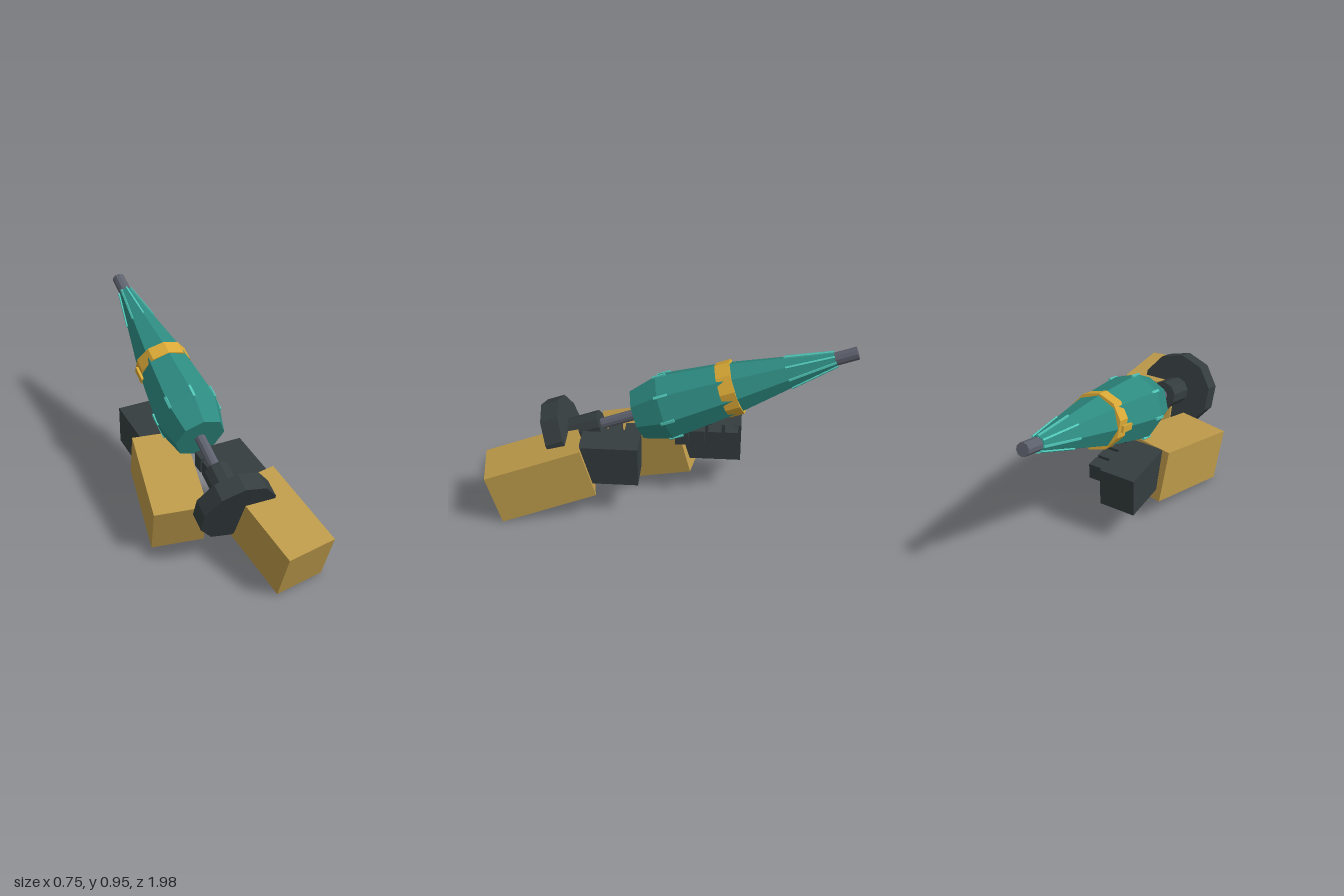
import * as THREE from 'three';

const mat = (name, color) => {
  const m = new THREE.MeshStandardMaterial({ color, flatShading: true });
  m.name = name;
  return m;
};

export function createModel() {
  const teal = mat('teal shell', 0x2d8a80);
  const aqua = mat('light teal trim', 0x4fc4b6);
  const gold = mat('gold band', 0xd9a836);
  const tan = mat('tan sleeve', 0xbd9a4a);
  const dark = mat('dark glove', 0x353d3f);
  const steel = mat('grey steel', 0x5e626e);

  const model = new THREE.Group();
  model.name = 'model';

  const add = (parent, name, geometry, material, x = 0, y = 0, z = 0) => {
    const mesh = new THREE.Mesh(geometry, material);
    mesh.name = name;
    mesh.position.set(x, y, z);
    parent.add(mesh);
    return mesh;
  };

  // Tool: built along local +y, which leans up and backwards; local +z is its upper side
  const tool = new THREE.Group();
  tool.name = 'tool';
  tool.position.set(0, 0.334, 0.618);
  tool.rotation.x = THREE.MathUtils.degToRad(-70);
  model.add(tool);

  const rod = (name, r, from, to, material) =>
    add(tool, name, new THREE.CylinderGeometry(r, r, to - from, 10), material, 0, (from + to) / 2, 0);
  rod('frontDisc', 0.21, 0, 0.1, dark);
  rod('hub', 0.077, 0.1, 0.275, dark);
  rod('frontRod', 0.03, 0.275, 0.5, steel);
  rod('tipRod', 0.035, 1.56, 1.7, steel);
  rod('band', 0.151, 0.97, 1.05, gold);

  // Eight-sided tapered shell
  const profile = [[0, 0.49], [0.142, 0.49], [0.186, 0.65], [0.143, 1.03], [0.04, 1.58], [0, 1.58]];
  add(tool, 'shell', new THREE.LatheGeometry(profile.map(p => new THREE.Vector2(...p)), 8), teal);

  // Trim strips on each edge of the shell
  for (let i = 0; i < 8; i++) {
    const spoke = new THREE.Group();
    spoke.name = 'trim';
    spoke.rotation.y = (i * Math.PI) / 4;
    tool.add(spoke);
    add(spoke, 'shoulderStrip', new THREE.BoxGeometry(0.014, 0.075, 0.012), aqua, 0, 0.67, 0.182);
    add(spoke, 'tipStrip', new THREE.BoxGeometry(0.01, 0.26, 0.012), aqua, 0, 1.455, 0.063).rotation.x = -0.185;
  }

  // Small block on the side of the band
  add(tool, 'sideBlock', new THREE.BoxGeometry(0.04, 0.09, 0.035), gold, -0.138, 0.98, 0);

  // Arms: the left one reaches forward, the right one sits further back
  for (const [name, side, shift] of [['leftArm', 1, 0], ['rightArm', -1, -0.54]]) {
    const arm = new THREE.Group();
    arm.name = name;
    arm.position.z = shift;
    model.add(arm);

    const sleeve = add(arm, 'sleeve', new THREE.BoxGeometry(0.287, 0.29, 0.526), tan, side * 0.1825, 0.2125, 0.68);
    sleeve.rotation.set(0.27, side * 0.172, 0, 'YXZ');

    add(arm, 'hand', new THREE.BoxGeometry(0.2, 0.222, 0.315), dark, side * 0.144, 0.309, 0.3);
    for (let i = 0; i < 4; i++) {
      add(arm, 'finger', new THREE.BoxGeometry(0.08, 0.088, 0.072), dark, side * 0.01, 0.375, 0.195 + i * 0.09);
    }
  }

  return model;
}
